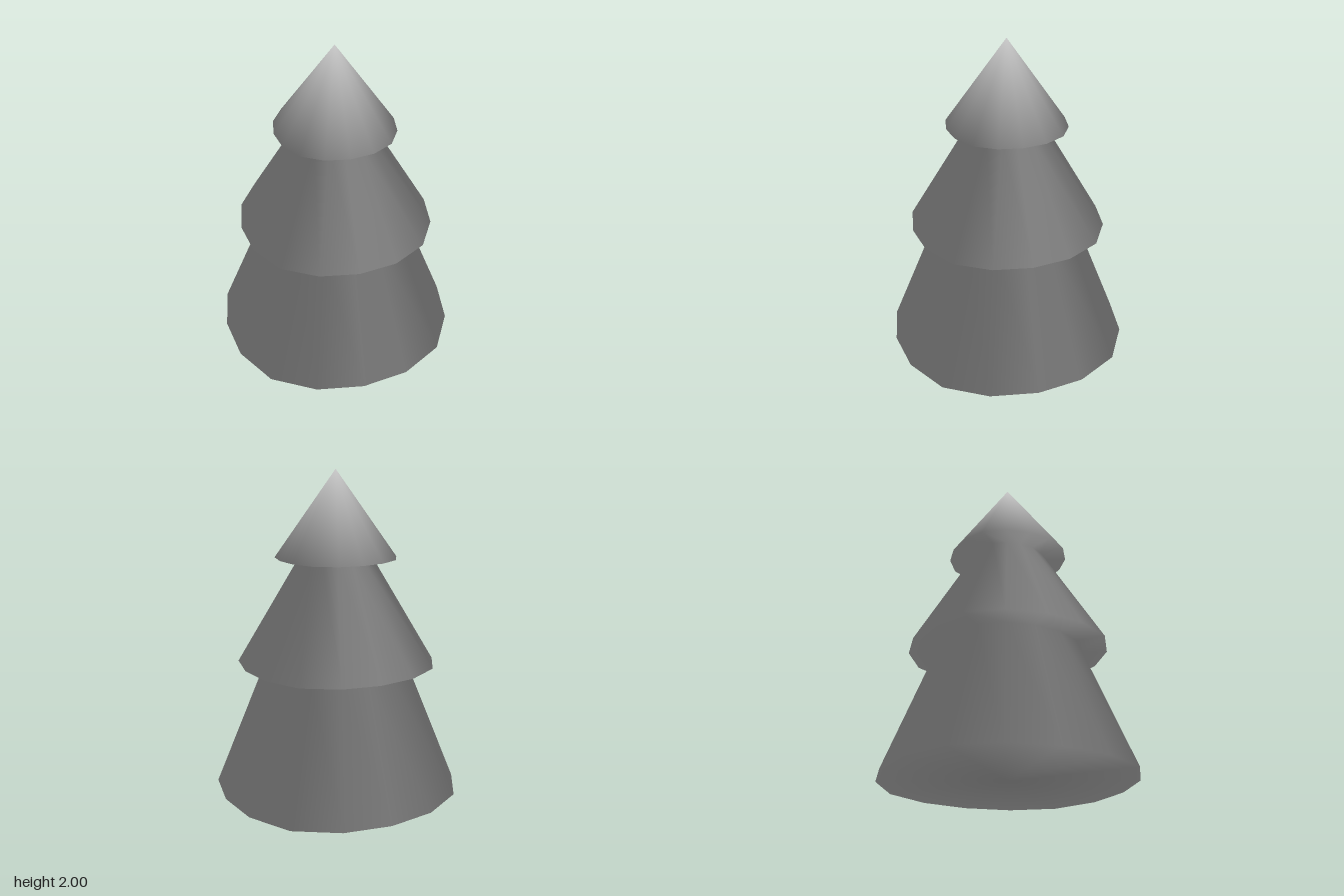
import * as THREE from 'three';

const SIDES = 16;

// Half section of the three tiers, from the middle of the base up to the tip: [radius, height]
const PROFILE = [
  [0, 0], [0.757, 0],
  [0.435, 0.81], [0.605, 0.81],
  [0.222, 1.467], [0.37, 1.467],
  [0, 2],
].map(([r, y]) => new THREE.Vector2(r, y));

// Slightly squared-off ring: the diagonals bulge a little
const bulge = (i) => [1, 1.016, 1.04, 1.016][i % 4];

// Soft normals in the section plane: equal blend of the two neighbouring slopes
function profileNormals(points) {
  const slopes = points.slice(1).map((p, j) => {
    const d = p.clone().sub(points[j]);
    return new THREE.Vector2(d.y, -d.x).normalize();
  });
  return points.map((p, j) => {
    if (j === 0) return new THREE.Vector2(0, -1);
    if (j === points.length - 1) return new THREE.Vector2(0, 1);
    return slopes[j - 1].clone().add(slopes[j]).normalize();
  });
}

function createTierGeometry() {
  const geometry = new THREE.LatheGeometry(PROFILE, SIDES);
  const { position, normal } = geometry.attributes;
  const normals = profileNormals(PROFILE);
  for (let i = 0; i <= SIDES; i++) {
    const angle = (i / SIDES) * Math.PI * 2;
    const s = Math.sin(angle), c = Math.cos(angle);
    PROFILE.forEach((p, j) => {
      const k = i * PROFILE.length + j;
      const r = p.x * bulge(i);
      position.setXYZ(k, r * s, p.y, r * c);
      normal.setXYZ(k, normals[j].x * s, normals[j].y, normals[j].x * c);
    });
  }
  return geometry;
}

export function createModel() {
  const group = new THREE.Group();
  group.name = 'firTree';

  // All three tiers form one continuous closed surface
  const tiers = new THREE.Mesh(
    createTierGeometry(),
    new THREE.MeshStandardMaterial({ color: 0xcccccc }),
  );
  tiers.name = 'foliageTiers';
  group.add(tiers);
  return group;
}
